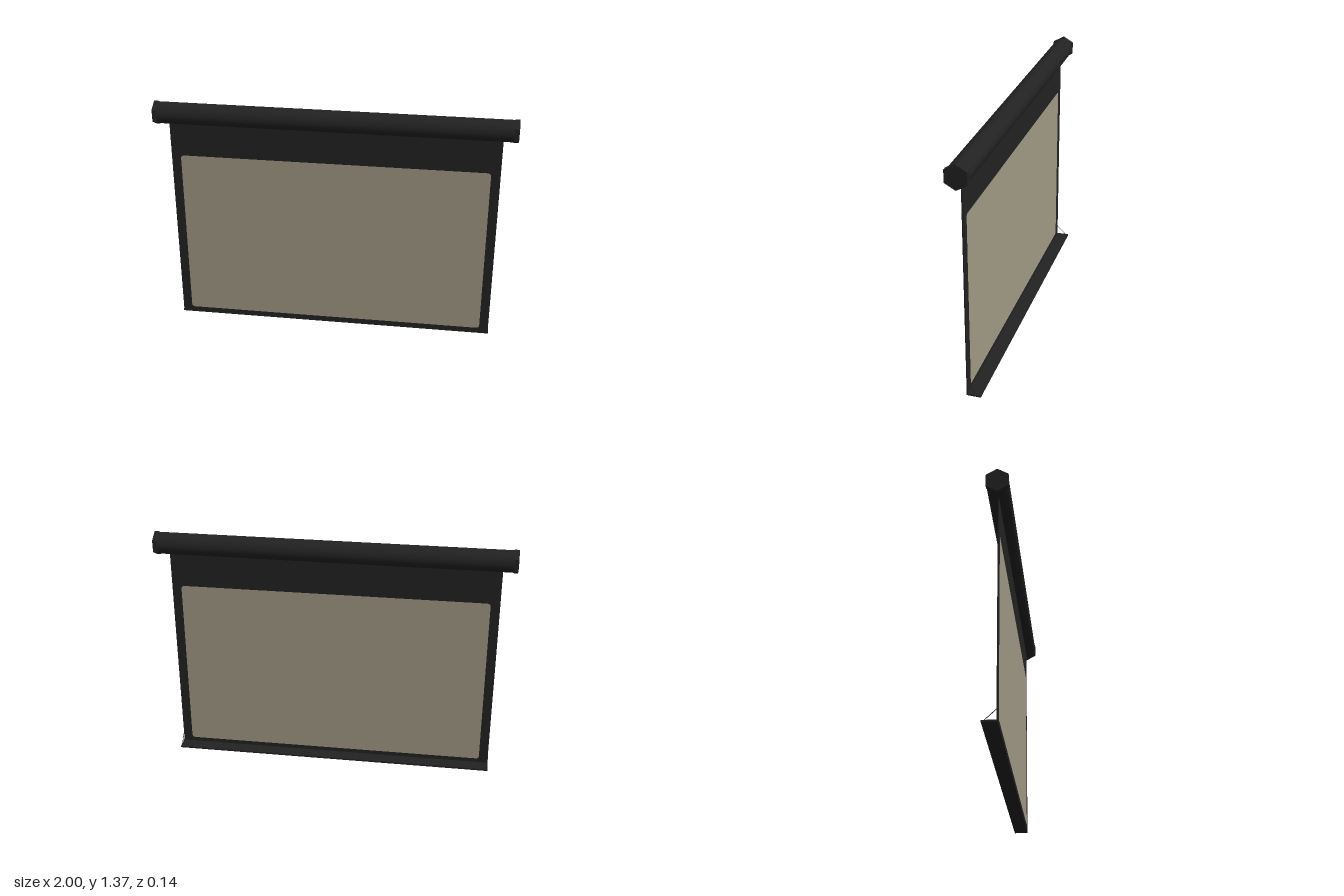
import * as THREE from 'three';

export function createModel() {
  const group = new THREE.Group();
  const black = new THREE.MeshStandardMaterial({ name: 'black', color: 0x222222 });
  const beige = new THREE.MeshStandardMaterial({ name: 'screen beige', color: 0xa09985 });
  const Z = 0.01; // plane of the hanging sheet and axis of the casing
  const AXIS_Y = 1.302;

  function add(name, geometry, material, x, y, z) {
    const mesh = new THREE.Mesh(geometry, material);
    mesh.name = name;
    mesh.position.set(x, y, z);
    group.add(mesh);
    return mesh;
  }

  // Rounded rectangle outline, used for the projection area and its opening
  function trace(path, x0, y0, x1, y1, r) {
    path.moveTo(x0 + r, y0);
    path.lineTo(x1 - r, y0);
    path.absarc(x1 - r, y0 + r, r, -Math.PI / 2, 0);
    path.lineTo(x1, y1 - r);
    path.absarc(x1 - r, y1 - r, r, 0, Math.PI / 2);
    path.lineTo(x0 + r, y1);
    path.absarc(x0 + r, y1 - r, r, Math.PI / 2, Math.PI);
    path.lineTo(x0, y0 + r);
    path.absarc(x0 + r, y0 + r, r, Math.PI, Math.PI * 1.5);
    return path;
  }
  const screenArea = [-0.87, 0.035, 0.87, 1.047, 0.018];

  // Round roller casing along x
  const casing = new THREE.CylinderGeometry(0.06, 0.06, 1.96, 32).rotateZ(Math.PI / 2);
  add('casing', casing, black, 0, AXIS_Y, Z);

  // Hexagonal end caps, pointing up
  for (const side of [-1, 1]) {
    const shape = new THREE.Shape();
    for (let i = 0; i < 6; i++) {
      const a = Math.PI / 2 + i * Math.PI / 3;
      const p = [0.068 * Math.cos(a), 0.068 * Math.sin(a)];
      if (i) shape.lineTo(...p); else shape.moveTo(...p);
    }
    const cap = new THREE.ExtrudeGeometry(shape, { depth: 0.025, bevelEnabled: false });
    cap.translate(0, 0, -0.0125).rotateY(Math.PI / 2);
    add(side > 0 ? 'leftEndCap' : 'rightEndCap', cap, black, side * 0.9875, AXIS_Y, Z);
  }

  // Black border sheet with a rounded opening
  const border = new THREE.Shape();
  border.moveTo(-0.922, 0.003).lineTo(0.922, 0.003).lineTo(0.922, 1.26).lineTo(-0.922, 1.26);
  border.holes.push(trace(new THREE.Path(), ...screenArea));
  const borderGeo = new THREE.ExtrudeGeometry(border, { depth: 0.006, bevelEnabled: false, curveSegments: 6 });
  add('borderSheet', borderGeo, black, 0, 0, Z - 0.003);

  // Projection surface filling the opening, visible from both sides
  const screen = trace(new THREE.Shape(), ...screenArea);
  const screenGeo = new THREE.ExtrudeGeometry(screen, { depth: 0.006, bevelEnabled: false, curveSegments: 6 });
  add('projectionSurface', screenGeo, beige, 0, 0, Z - 0.003);

  // Bottom ledge reaching to the back
  add('bottomLedge', new THREE.BoxGeometry(1.85, 0.01, 0.08), black, 0, 0.006, -0.026);

  // Thin diagonal stays between sheet and ledge at both ends
  for (const side of [-1, 1]) {
    const from = new THREE.Vector3(side * 0.921, 0.068, Z);
    const to = new THREE.Vector3(side * 0.921, 0.01, -0.052);
    const stay = new THREE.TubeGeometry(new THREE.LineCurve3(from, to), 1, 0.0018, 6);
    add(side > 0 ? 'leftStay' : 'rightStay', stay, black, 0, 0, 0);
  }

  // Stand exactly on the ground
  const box = new THREE.Box3().setFromObject(group);
  for (const part of group.children) part.position.y -= box.min.y;
  return group;
}
